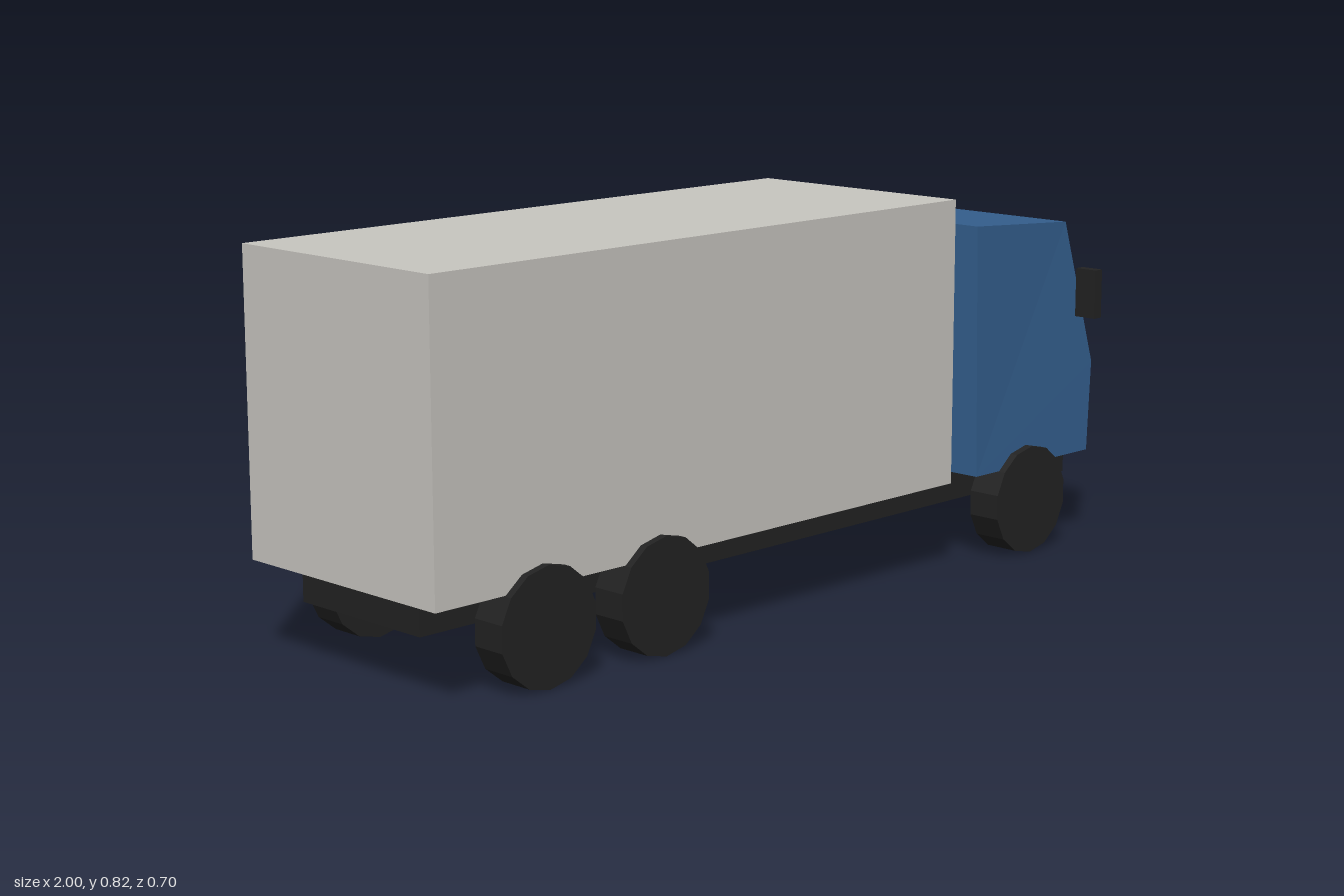
import * as THREE from 'three';

const paint = (name, color) => {
  const m = new THREE.MeshStandardMaterial({ color });
  m.name = name;
  return m;
};

// Cab: a side profile of [x, y, half width], mirrored across z = 0
function cabGeometry() {
  const profile = [
    [0.555, 0.2, 0.277],
    [0.955, 0.2, 0.277],
    [0.975, 0.405, 0.27],
    [0.885, 0.735, 0.255],
    [0.555, 0.757, 0.267],
  ];
  const n = profile.length;
  const left = profile.map(([x, y, w]) => [x, y, w]);
  const right = profile.map(([x, y, w]) => [x, y, -w]);
  const pos = [];
  const tri = (a, b, c) => pos.push(...a, ...b, ...c);
  for (let i = 0; i < n; i++) {
    const j = (i + 1) % n;
    tri(left[i], right[i], right[j]);
    tri(left[i], right[j], left[j]);
  }
  for (let i = 1; i < n - 1; i++) {
    tri(left[0], left[i], left[i + 1]);
    tri(right[0], right[i + 1], right[i]);
  }
  const g = new THREE.BufferGeometry();
  g.setAttribute('position', new THREE.Float32BufferAttribute(pos, 3));
  g.computeVertexNormals();
  return g;
}

export function createModel() {
  const truck = new THREE.Group();
  truck.name = 'truck';
  const blue = paint('cabBlue', 0x345f8e);
  const grey = paint('lightGrey', 0xc8c6c0);
  const black = paint('black', 0x222222);
  black.flatShading = true;

  const add = (name, geometry, material) => {
    const mesh = new THREE.Mesh(geometry, material);
    mesh.name = name;
    truck.add(mesh);
    return mesh;
  };
  // Box given by its minimum and maximum on each axis
  const box = (name, material, [x0, x1], [y0, y1], [z0, z1]) =>
    add(name, new THREE.BoxGeometry(x1 - x0, y1 - y0, z1 - z0), material)
      .position.set((x0 + x1) / 2, (y0 + y1) / 2, (z0 + z1) / 2);

  // Body
  box('chassis', black, [-0.955, 1], [0.125, 0.212], [-0.177, 0.177]);
  box('cargoBox', grey, [-1, 0.467], [0.2, 0.825], [-0.277, 0.277]);
  add('cab', cabGeometry(), blue);

  // Nose
  box('grille', grey, [0.973, 0.991], [0.212, 0.368], [-0.2, 0.2]);
  box('headlightBar', grey, [0.955, 0.985], [0.223, 0.267], [-0.256, 0.256]);

  // Mirrors and wheels on both sides
  const r = 0.1225;
  const tyre = new THREE.CylinderGeometry(r, r, 0.077, 14).rotateX(Math.PI / 2);
  for (const [side, s] of [['left', -1], ['right', 1]]) {
    box(side + 'Mirror', black, [0.876, 0.9], [0.524, 0.634], s < 0 ? [-0.349, -0.295] : [0.295, 0.349]);
    for (const [axle, x] of [['rear', -0.735], ['middle', -0.425], ['front', 0.73]])
      add(`${side}${axle}Wheel`, tyre, black).position.set(x, r, s * 0.2555);
  }
  return truck;
}
